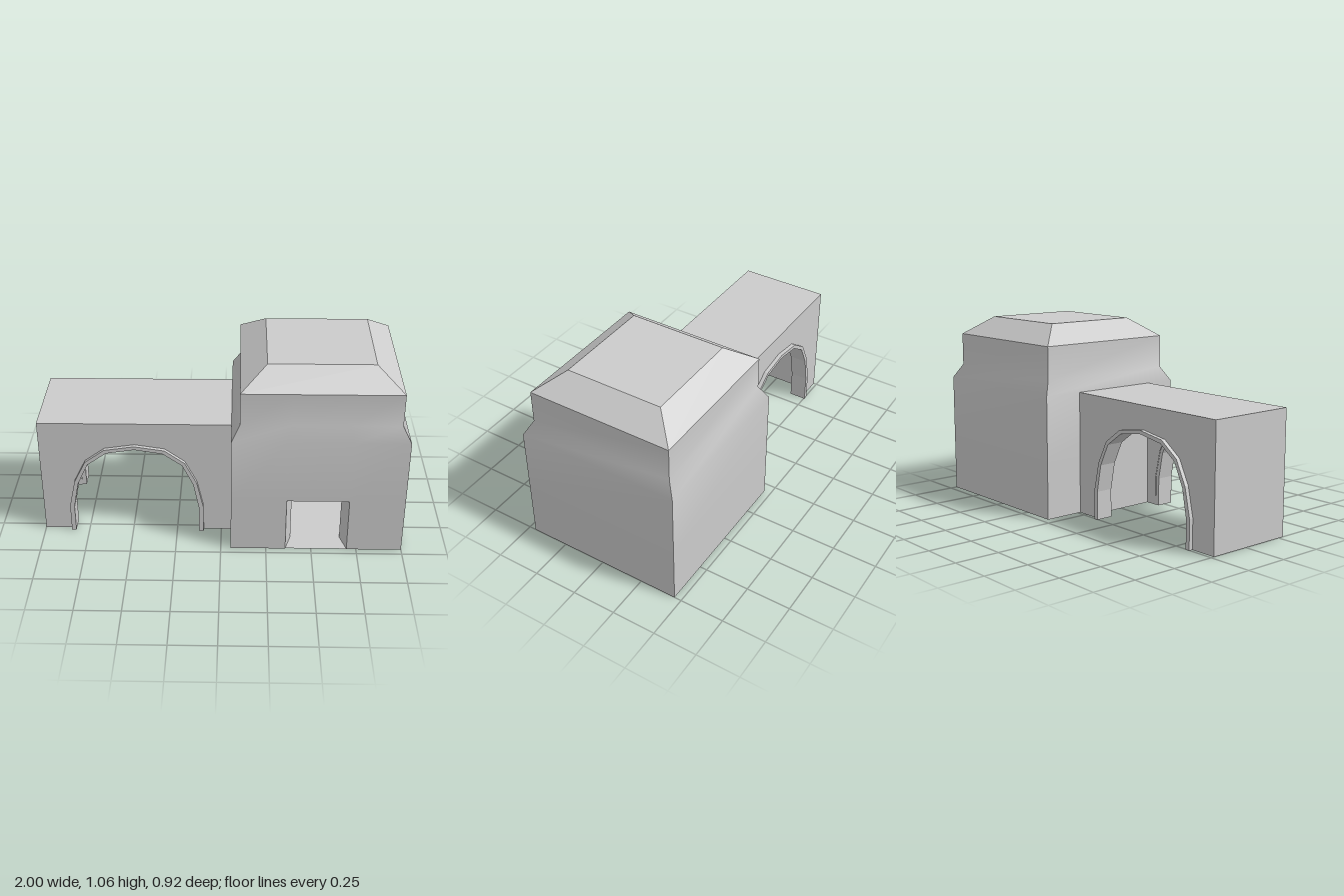
import * as THREE from 'three';

const mat = new THREE.MeshStandardMaterial({ color: 0xcccccc, side: THREE.DoubleSide });

// House and arch dimensions
const CX = 0.5275, DOOR = 0.17, DOOR_H = 0.32, DOOR_IN = 0.1375, DOOR_IN_H = 0.305;
const ROOM = { x: 0.315, z: 0.35, h: 0.62 };
const AX = -0.475;

function add(parent, name, geometry) {
  const mesh = new THREE.Mesh(geometry, mat);
  mesh.name = name;
  parent.add(mesh);
  return mesh;
}

// Surface through rows of points, smooth inside; skip(row, column) leaves a hole
function sheet(rows, skip = () => false) {
  const n = rows[0].length, index = [];
  for (let r = 0; r < rows.length - 1; r++) {
    for (let c = 0; c < n - 1; c++) {
      if (skip(r, c)) continue;
      const a = r * n + c, b = a + n;
      index.push(a, a + 1, b + 1, a, b + 1, b);
    }
  }
  const g = new THREE.BufferGeometry();
  g.setAttribute('position', new THREE.Float32BufferAttribute(rows.flat(2), 3));
  g.setIndex(index);
  g.computeVertexNormals();
  return g;
}

function polygon(points, z, back = false) {
  const g = new THREE.ShapeGeometry(new THREE.Shape(points.map(p => new THREE.Vector2(...p))));
  if (back) g.rotateY(Math.PI).scale(-1, 1, 1), g.index.array.reverse();
  if (back) g.computeVertexNormals();
  return g.translate(0, 0, z);
}

// Half-arch points, mirrored about the arch centre
const archLine = half => [
  ...half.map(([x, y]) => [AX - x, y]),
  ...half.slice(0, -1).reverse().map(([x, y]) => [AX + x, y]),
];
const archOuter = archLine([[0.375, 0], [0.375, 0.165], [0.34, 0.325], [0.275, 0.455], [0.165, 0.535], [0, 0.56]]);
const archInner = archLine([[0.35, 0], [0.35, 0.16], [0.32, 0.315], [0.26, 0.44], [0.155, 0.515], [0, 0.54]]);

function house() {
  const g = new THREE.Group();
  g.name = 'house';
  // half width, half depth and height at each level
  const levels = [[0.4725, 0.46, 0], [0.4725, 0.46, DOOR_H], [0.4725, 0.46, 0.69],
    [0.4275, 0.415, 0.77], [0.4275, 0.415, 0.955]];
  const eave = levels[4], crown = [0.286, 0.277, 1.06];
  const sides = [
    ['front', (hx, hz, u) => [CX + u * hx, hz]],
    ['left', (hx, hz, u) => [CX + hx, -u * hz]],
    ['back', (hx, hz, u) => [CX - u * hx, -hz]],
    ['right', (hx, hz, u) => [CX - hx, u * hz]],
  ];
  const k = DOOR / 0.4725;
  for (const [side, at] of sides) {
    const row = ([hx, hz, y], us) => us.map(u => {
      const [x, z] = at(hx, hz, u);
      return [x, y, z];
    });
    const front = side === 'front';
    const us = front ? [-1, -k, k, 1] : [-1, 1];
    add(g, side + 'Wall', sheet(levels.map(l => row(l, us)), (r, c) => front && r === 0 && c === 1));
    add(g, side + 'RoofSlope', sheet([row(eave, [-1, 1]), row(crown, [-1, 1])]));
    // inner room walls
    if (!front) {
      add(g, side + 'RoomWall',
        sheet([row([ROOM.x, ROOM.z, ROOM.h], [-1, 1]), row([ROOM.x, ROOM.z, 0], [-1, 1])]));
    }
  }
  const slab = (hx, hz, y) => sheet([
    [[CX - hx, y, hz], [CX + hx, y, hz]], [[CX - hx, y, -hz], [CX + hx, y, -hz]]]);
  add(g, 'roofTop', slab(...crown));
  add(g, 'roomFloor', slab(ROOM.x, ROOM.z, 0.002));
  add(g, 'roomCeiling', slab(ROOM.x, ROOM.z, ROOM.h));

  // inner front wall around the doorway
  const r = ROOM.x, d = DOOR_IN, h = DOOR_IN_H;
  add(g, 'frontRoomWall', polygon([[-r, 0], [-d, 0], [-d, h], [d, h], [d, 0], [r, 0],
    [r, ROOM.h], [-r, ROOM.h]].map(([x, y]) => [CX + x, y]), ROOM.z, true));

  // splayed doorway: two jambs, a lintel and a threshold
  const ring = (w, top, z) => [[-w, 0.002], [-w, top], [w, top], [w, 0.002], [-w, 0.002]]
    .map(([x, y]) => [CX + x, y, z]);
  const reveal = sheet([ring(DOOR, DOOR_H, 0.46), ring(d, h, ROOM.z)]).toNonIndexed();
  reveal.computeVertexNormals();
  add(g, 'doorway', reveal);
  return g;
}

function archway() {
  const g = new THREE.Group();
  g.name = 'archway';
  const x0 = -1, x1 = 0.055, top = 0.69, zf = 0.283, zb = -0.232;
  const c0 = -0.92, c1 = -0.03, cTop = 0.62, t = 0.08;
  const face = (l, r, h) => [[l, 0], ...archOuter, [r, 0], [r, h], [l, h]];

  // outer faces and the inner faces of the two arched walls
  add(g, 'frontArchWall', polygon(face(x0, x1, top), zf));
  add(g, 'backArchWall', polygon(face(x0, x1, top), zb, true));
  add(g, 'frontArchWallInside', polygon(face(c0, c1, cTop), zf - t, true));
  add(g, 'backArchWallInside', polygon(face(c0, c1, cTop), zb + t));

  // roof and end, then the passage ceiling and sides
  const span = (a, b, za, zc) => sheet([
    [[...a, za], [...b, za]], [[...a, zc], [...b, zc]]]);
  add(g, 'archRoof', span([x0, top], [x1, top], zf, zb));
  add(g, 'archEnd', span([x0, 0], [x0, top], zf, zb));
  add(g, 'passageCeiling', span([c1, cTop], [c0, cTop], zf - t, zb + t));
  add(g, 'passageRightSide', span([c0, cTop], [c0, 0], zf - t, zb + t));
  add(g, 'passageLeftSide', span([c1, 0], [c1, cTop], zf - t, zb + t));

  // raised trim lining both arch openings
  const trim = new THREE.Shape([...archOuter, ...archInner.slice().reverse()]
    .map(p => new THREE.Vector2(...p)));
  for (const [name, z] of [['frontArchTrim', 0.205], ['backArchTrim', -0.255]]) {
    add(g, name, new THREE.ExtrudeGeometry(trim, { depth: 0.1, bevelEnabled: false }).translate(0, 0, z));
  }
  return g;
}

export function createModel() {
  const model = new THREE.Group();
  model.name = 'archHouse';
  model.add(house(), archway());
  return model;
}
